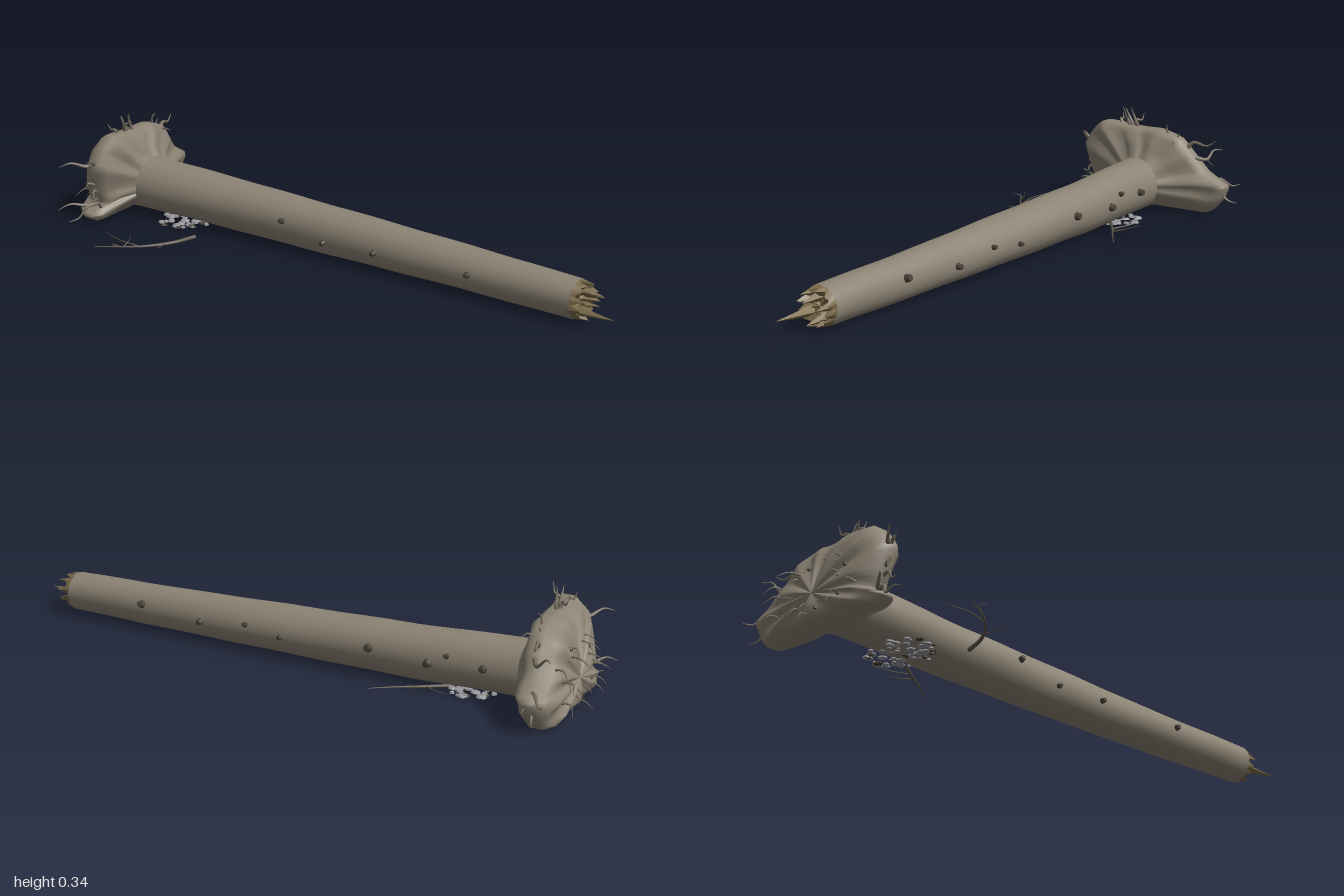
import * as THREE from 'three';

const V = (x, y, z) => new THREE.Vector3(x, y, z);
const mat = (name, color, extra = {}) => Object.assign(new THREE.MeshStandardMaterial({ color, ...extra }), { name });

// Small seeded generator
function seeded(s) {
  return () => ((s = (s * 16807) % 2147483647) / 2147483647);
}

// Linear lookup in rows of [key, ...values]
function lookup(rows, k) {
  let i = 0;
  while (i < rows.length - 2 && k > rows[i + 1][0]) i++;
  const a = rows[i], b = rows[i + 1];
  const t = THREE.MathUtils.clamp((k - a[0]) / (b[0] - a[0]), 0, 1);
  return a.slice(1).map((v, j) => v + (b[j + 1] - v) * t);
}

// Skin closed loops of equal length, running along +x
function loft(rings) {
  const n = rings[0].length, pos = [], idx = [];
  rings.forEach(r => r.forEach(p => pos.push(p.x, p.y, p.z)));
  for (let i = 0; i < rings.length - 1; i++) {
    for (let j = 0; j < n; j++) {
      const k = (j + 1) % n, a = i * n + j, b = i * n + k, c = a + n, d = b + n;
      idx.push(a, b, c, b, d, c);
    }
  }
  const g = new THREE.BufferGeometry();
  g.setAttribute('position', new THREE.Float32BufferAttribute(pos, 3));
  g.setIndex(idx);
  g.computeVertexNormals();
  return g;
}

// Tube that tapers to a point
function taperedTube(points, radius, tip = 0.12, sides = 6, segs = 10) {
  const curve = new THREE.CatmullRomCurve3(points);
  const g = new THREE.TubeGeometry(curve, segs, radius, sides, false);
  const p = g.attributes.position, v = V(0, 0, 0);
  for (let i = 0; i < p.count; i++) {
    const t = Math.floor(i / (sides + 1)) / segs;
    const c = curve.getPointAt(t);
    v.fromBufferAttribute(p, i).sub(c).multiplyScalar(1 - t * (1 - tip)).add(c);
    p.setXYZ(i, v.x, v.y, v.z);
  }
  return g;
}

// Trunk stations: x, centre y, centre z, radius
const TRUNK = [[-0.86, 0.097, -0.042, 0.094], [-0.78, 0.094, -0.043, 0.088], [-0.4, 0.085, -0.06, 0.083],
  [0, 0.079, -0.067, 0.077], [0.4, 0.074, -0.067, 0.069], [0.86, 0.069, -0.062, 0.062]];

// Root plate outline around the trunk axis, [z, y]
const OUTLINE = [[-0.04, 0.275], [0.03, 0.28], [0.11, 0.285], [0.15, 0.25], [0.185, 0.195], [0.165, 0.1],
  [0.15, 0.06], [0.2, 0.03], [0.16, 0.003], [0.05, 0.003], [-0.06, 0.003], [-0.17, 0.003], [-0.265, 0.003],
  [-0.31, 0.05], [-0.33, 0.1], [-0.26, 0.145], [-0.215, 0.2], [-0.17, 0.25], [-0.1, 0.275]];

export function createModel() {
  const model = new THREE.Group();
  model.name = 'fallenTree';
  const bark = mat('bark', 0x8c8374);
  const rootMat = mat('root', 0x786f61);
  const wood = mat('splinteredWood', 0x7a6a49, { flatShading: true, side: THREE.DoubleSide });
  const dark = mat('darkBark', 0x4a4238);
  const twigMat = mat('twig', 0x5d5549);
  const litterMat = mat('litter', 0x96969a);
  const rnd = seeded(4711);
  const add = (name, geo, m, parent = model) => {
    const mesh = new THREE.Mesh(geo, m);
    mesh.name = name;
    parent.add(mesh);
    return mesh;
  };
  const group = name => {
    const g = new THREE.Group();
    g.name = name;
    model.add(g);
    return g;
  };

  // Trunk, gently uneven
  const trunkRings = [];
  for (let i = 0; i <= 48; i++) {
    const x = -0.86 + 1.72 * i / 48, [cy, cz, r] = lookup(TRUNK, x);
    trunkRings.push(Array.from({ length: 32 }, (_, j) => {
      const a = j / 32 * Math.PI * 2;
      const q = r * (1 + 0.012 * Math.sin(3 * a + x * 6) + 0.01 * Math.sin(x * 19 + a));
      return V(x, cy + q * Math.cos(a), cz + q * Math.sin(a));
    }));
  }
  add('trunk', loft(trunkRings), bark);

  // Broken end: jagged crown of split wood with a pleated core
  const [ey, ez, er] = lookup(TRUNK, 0.86);
  const crown = (radius, xOf) => Array.from({ length: 24 }, (_, j) => {
    const a = j / 24 * Math.PI * 2;
    return V(xOf(j), ey + er * radius * Math.cos(a), ez + er * radius * Math.sin(a));
  });
  const end = group('brokenEnd');
  add('core', loft([crown(0.99, () => 0.855), crown(0.88, j => 0.862 + (j % 2) * 0.025 + (j % 3) * 0.008),
    crown(0.5, j => 0.855 + (j % 2) * 0.012), crown(0.001, () => 0.86)]), wood, end);
  // Splinters: tip x, y, z and base y, z, radius
  [[1.0, 0.05, -0.02, 0.048, -0.03, 0.02], [0.94, 0.095, -0.065, 0.1, -0.06, 0.022], [0.925, 0.075, -0.1, 0.075, -0.1, 0.018],
    [0.93, 0.03, -0.07, 0.035, -0.07, 0.018], [0.915, 0.11, -0.035, 0.105, -0.036, 0.016], [0.91, 0.045, -0.1, 0.04, -0.095, 0.015],
    [0.9, 0.08, -0.015, 0.08, -0.02, 0.014]].forEach(([x, y, z, by, bz, r]) =>
    add('splinter', taperedTube([V(0.84, by, bz), V((0.84 + x) / 2, (by + y) / 2, (bz + z) / 2), V(x, y, z)], r, 0.02, 4, 3), wood, end));

  // Root plate: outline swollen between back face and trunk collar
  const outline = new THREE.CatmullRomCurve3(OUTLINE.map(([z, y]) => V(0, y, z)), true, 'catmullrom', 0.25).getPoints(76).slice(0, 76);
  const plateRing = (scale, x) => outline.map((p, j) => {
    const z = -0.045 + (p.z + 0.045) * scale, y = 0.095 + (p.y - 0.095) * scale;
    const lump = 0.008 * Math.sin(j * 0.9) * Math.sin(scale * 3);
    return V(x + 0.1 * z + 0.14 * y + lump, Math.max(0.001, y), z);
  });
  const collar = outline.map(p => {
    const a = Math.atan2(p.z + 0.043, p.y - 0.094);
    return V(-0.768, 0.094 + 0.086 * Math.cos(a), -0.043 + 0.086 * Math.sin(a));
  });
  add('rootPlate', loft([plateRing(0.001, -0.938), plateRing(0.35, -0.938), plateRing(0.7, -0.932), plateRing(0.9, -0.918),
    plateRing(1, -0.888), plateRing(1, -0.85), plateRing(0.9, -0.828), plateRing(0.65, -0.815), collar]), bark);

  // Rim roots: base z, y, tip z, y, tip x
  const roots = group('roots');
  [[0.17, 0.215, 0.265, 0.205, -0.9], [0.17, 0.2, 0.21, 0.225, -0.83], [0.175, 0.16, 0.2, 0.12, -0.85], [0.15, 0.1, 0.205, 0.1, -0.82],
    [0.15, 0.08, 0.26, 0.05, -0.92], [0.14, 0.06, 0.25, 0.015, -0.88], [0.14, 0.05, 0.2, 0.075, -0.8], [0.04, 0.265, 0.07, 0.31, -0.86],
    [0.015, 0.265, 0.04, 0.335, -0.83], [0.01, 0.26, 0.03, 0.345, -0.8], [0, 0.265, 0.01, 0.34, -0.82], [-0.005, 0.265, -0.01, 0.315, -0.87],
    [-0.1, 0.24, -0.135, 0.3, -0.83], [-0.11, 0.235, -0.17, 0.27, -0.85], [-0.13, 0.24, -0.175, 0.235, -0.8], [-0.19, 0.215, -0.285, 0.25, -0.89],
    [-0.22, 0.19, -0.28, 0.21, -0.94], [-0.27, 0.09, -0.355, 0.04, -0.92], [-0.28, 0.08, -0.335, 0.07, -0.88], [-0.29, 0.11, -0.35, 0.1, -0.95]]
    .forEach(([bz, by, tz, ty, tx], i) => {
      const bx = -0.86 + 0.1 * bz + 0.1 * by, bend = (i % 2 ? 1 : -1) * 0.013;
      add('rimRoot', taperedTube([V(bx, by, bz), V(bx * 0.7 + tx * 0.3, by * 0.65 + ty * 0.35 + bend, bz * 0.65 + tz * 0.35 + bend),
        V(bx * 0.3 + tx * 0.7, by * 0.3 + ty * 0.7 - bend * 0.6, bz * 0.3 + tz * 0.7), V(tx, ty, tz)], 0.0085), rootMat, roots);
    });

  // Rootlets and clods on the back face
  for (let i = 0; i < 20; i++) {
    const a = i * 2.4, s = 0.3 + 0.6 * rnd();
    const z = -0.05 + 0.2 * s * Math.sin(a), y = Math.max(0.02, 0.11 + 0.14 * s * Math.cos(a));
    const x = -0.925 + 0.1 * z + 0.14 * y, len = i === 0 ? 0 : 0.025 + 0.03 * rnd();
    const tipX = i === 5 ? -1 : Math.max(-0.995, x - len);
    add('rootlet', taperedTube([V(x + 0.02, y, z), V((x + tipX) / 2, y + 0.008, z + 0.01 * Math.sin(i)),
      V(tipX, Math.max(0.004, y - 0.018), z + 0.03 * Math.sin(a))], 0.005, 0.1, 5, 6), rootMat, roots);
    if (i % 2) {
      const clod = add('clod', new THREE.IcosahedronGeometry(0.007, 0), dark, roots);
      clod.position.set(x - 0.001, y + 0.02, z + 0.02);
    }
  }

  // Knots on the trunk sides: x, angle from the top, size
  const knots = group('knots');
  [[-0.18, 1.3, 0.012], [-0.02, 1.75, 0.01], [0.17, 1.62, 0.011], [0.51, 1.45, 0.012], [-0.66, -1.5, 0.014], [-0.48, -1.6, 0.016],
    [-0.54, -1.25, 0.01], [-0.28, -1.4, 0.016], [0.03, -1.6, 0.01], [0.16, -1.35, 0.01], [0.33, -1.6, 0.013], [0.56, -1.3, 0.015]]
    .forEach(([x, a, s]) => {
      const [cy, cz, r] = lookup(TRUNK, x);
      const knot = add('knot', new THREE.CylinderGeometry(s * 0.65, s, 0.022, 8), dark, knots);
      knot.position.set(x, cy + (r + 0.003) * Math.cos(a), cz + (r + 0.003) * Math.sin(a));
      knot.rotation.x = a;
    });

  // Fallen branches, each a main stem with side twigs
  const branches = group('fallenBranches');
  const branch = (pts, r) => add('branch', taperedTube(pts.map(p => V(...p)), r, 0.2, 6, 12), twigMat, branches);
  branch([[-0.465, 0.013, 0.105], [-0.49, 0.013, 0.19], [-0.55, 0.013, 0.275], [-0.67, 0.012, 0.36]], 0.007);
  branch([[-0.5, 0.013, 0.21], [-0.49, 0.018, 0.25], [-0.475, 0.025, 0.28]], 0.003);
  branch([[-0.55, 0.013, 0.275], [-0.62, 0.02, 0.285], [-0.7, 0.025, 0.27]], 0.003);
  branch([[-0.59, 0.013, 0.31], [-0.585, 0.03, 0.29], [-0.58, 0.05, 0.285]], 0.003);
  branch([[-0.6, 0.013, 0.315], [-0.62, 0.022, 0.33], [-0.6, 0.033, 0.345]], 0.003);
  branch([[-0.54, 0.012, -0.1], [-0.46, 0.013, -0.16], [-0.4, 0.013, -0.2], [-0.34, 0.012, -0.245]], 0.006);
  branch([[-0.45, 0.013, -0.165], [-0.47, 0.025, -0.21], [-0.49, 0.04, -0.25]], 0.003);
  branch([[-0.48, 0.012, -0.145], [-0.53, 0.02, -0.18], [-0.58, 0.02, -0.19]], 0.003);

  // Loose chips scattered on the ground under the trunk
  const litter = group('litter');
  for (let i = 0; i < 75; i++) {
    const a = rnd() * Math.PI * 2, d = Math.sqrt(rnd()), s = 0.006 + 0.011 * rnd();
    const chip = add('chip', new THREE.CylinderGeometry(s * 0.8, s, 0.005, 6), i % 6 ? litterMat : dark, litter);
    chip.position.set(-0.6 + 0.085 * d * Math.cos(a), 0.006 + 0.006 * rnd(), -0.045 + 0.125 * d * Math.sin(a));
    chip.rotation.set(0.25 * (rnd() - 0.5), rnd() * 6, 0.25 * (rnd() - 0.5));
  }
  return model;
}
